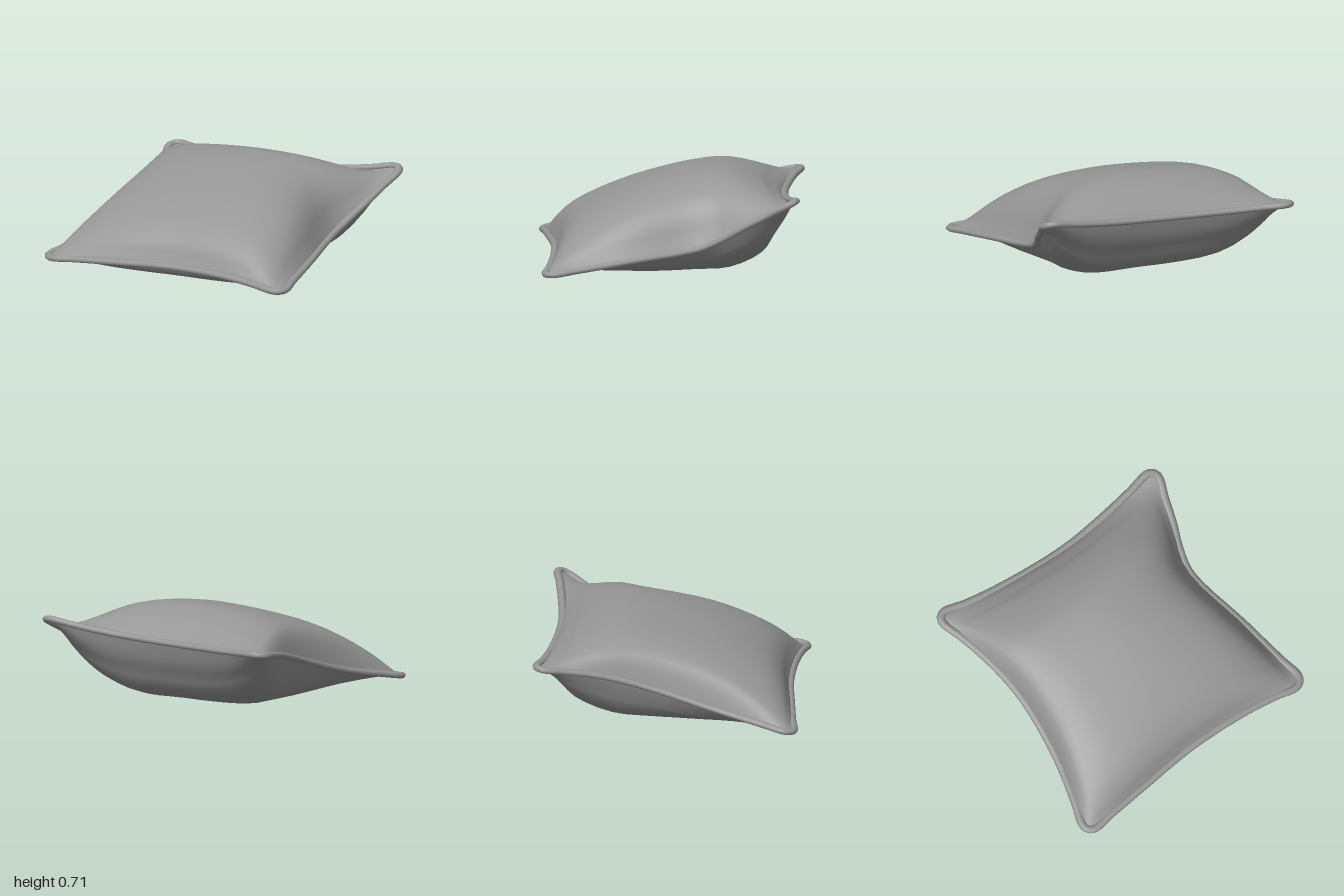
import * as THREE from 'three';

const V = (p) => new THREE.Vector3(...p);
const spline = (pts) => new THREE.CatmullRomCurve3(pts.map(V));

// Seam corners, then the four sagging edges between them
const FL = [-0.985, 0.08, 0.89], FR = [0.935, 0.055, 0.935];
const BL = [-0.915, 0.52, -0.94], BR = [0.98, 0.59, -0.84];
const front = spline([FL, [-0.5, 0.10, 0.86], [0.02, 0.115, 0.835], [0.5, 0.10, 0.865], FR]);
const back = spline([BL, [-0.52, 0.50, -0.85], [0.1, 0.50, -0.78], [0.5, 0.525, -0.795], BR]);
const left = spline([BL, [-0.81, 0.44, -0.50], [-0.77, 0.34, -0.15], [-0.82, 0.20, 0.32], FL]);
const right = spline([BR, [0.86, 0.38, -0.47], [0.77, 0.23, -0.2], [0.85, 0.14, 0.35], FR]);

// Heights along the middle, back to front: [position, top, bottom]
const rows = spline([
  [0, 0.5, 0.5], [0.03, 0.55, 0.35], [0.07, 0.59, 0.24], [0.12, 0.64, 0.12],
  [0.27, 0.71, 0.02], [0.42, 0.69, 0.005], [0.6, 0.615, 0.003], [0.76, 0.515, 0.02],
  [0.9, 0.39, 0.03], [0.96, 0.28, 0.04], [0.985, 0.18, 0.07], [1, 0.115, 0.115],
]).getPoints(33);

// How far each column reaches those heights, right to left: [position, top, bottom]
const columns = spline([
  [0, 0, 0], [0.03, 0.5, 0.35], [0.08, 0.73, 0.7], [0.2, 0.89, 0.95], [0.4, 0.98, 1],
  [0.55, 1, 1], [0.72, 0.95, 1], [0.85, 0.79, 0.85], [0.93, 0.52, 0.6], [0.97, 0.22, 0.3], [1, 0, 0],
]).getPoints(30);

// Point on the sheet spanned by the four edges (s: across, t: back to front)
function seamSheet(s, t) {
  const p = new THREE.Vector3();
  const add = (q, w) => p.addScaledVector(q, w);
  add(back.getPointAt(s), 1 - t);
  add(front.getPointAt(s), t);
  add(left.getPointAt(t), 1 - s);
  add(right.getPointAt(t), s);
  add(V(BL), -(1 - s) * (1 - t));
  add(V(BR), -s * (1 - t));
  add(V(FL), -(1 - s) * t);
  add(V(FR), -s * t);
  return p;
}

// One cover, pushed away from the seam sheet (axis y: top, axis z: bottom)
function cover(axis) {
  const top = axis === 'y', width = columns.length, last = rows.length - 1;
  const pos = [], idx = [];
  rows.forEach((row, j) => {
    columns.forEach((column) => {
      const p = seamSheet(column.x, row.x);
      const rise = row[axis] - p.y;
      const push = top ? Math.max(0, rise) : Math.min(0, rise);
      // Corners hold less stuffing, and their tips stay inside the piping
      const corner = Math.abs((2 * column.x - 1) * (2 * row.x - 1));
      if (j > 0 && j < last) p.y += push * column[axis] * (1 - 0.9 * corner ** 3);
      const tuck = 1 - 0.025 * corner ** 16;
      pos.push(p.x * tuck, p.y, p.z * tuck);
    });
  });
  for (let j = 0; j < last; j++) {
    for (let i = 0; i < width - 1; i++) {
      const a = j * width + i, b = a + 1, c = a + width, d = c + 1;
      if (top) idx.push(a, c, b, b, c, d);
      else idx.push(a, b, c, b, d, c);
    }
  }
  const g = new THREE.BufferGeometry();
  g.setAttribute('position', new THREE.Float32BufferAttribute(pos, 3));
  g.setIndex(idx);
  g.computeVertexNormals();
  return g;
}

// Flattened piping around the whole seam; skipping the corner points rounds the corners
function piping() {
  const loop = [], steps = 240, sides = 10;
  const follow = (curve, from, to) => {
    for (let k = 0; k <= 10; k++) loop.push(curve.getPointAt(from + ((to - from) * k) / 10));
  };
  follow(front, 0.03, 0.97);
  follow(right, 0.97, 0.03);
  follow(back, 0.97, 0.03);
  follow(left, 0.03, 0.97);
  const path = new THREE.CatmullRomCurve3(loop, true);
  const g = new THREE.TubeGeometry(path, steps, 0.03, sides, true);
  const pos = g.attributes.position;
  for (let i = 0; i < pos.count; i++) {
    const y = path.getPointAt(Math.floor(i / (sides + 1)) / steps).y;
    pos.setY(i, y + (pos.getY(i) - y) * 0.75);
  }
  return g;
}

export function createModel() {
  const group = new THREE.Group();
  group.name = 'cushion';
  const material = new THREE.MeshStandardMaterial({ color: 0x969696, side: THREE.DoubleSide });
  const part = (name, geometry) => {
    const mesh = new THREE.Mesh(geometry, material);
    mesh.name = name;
    group.add(mesh);
  };
  part('topCover', cover('y'));
  part('bottomCover', cover('z'));
  part('piping', piping());
  return group;
}
